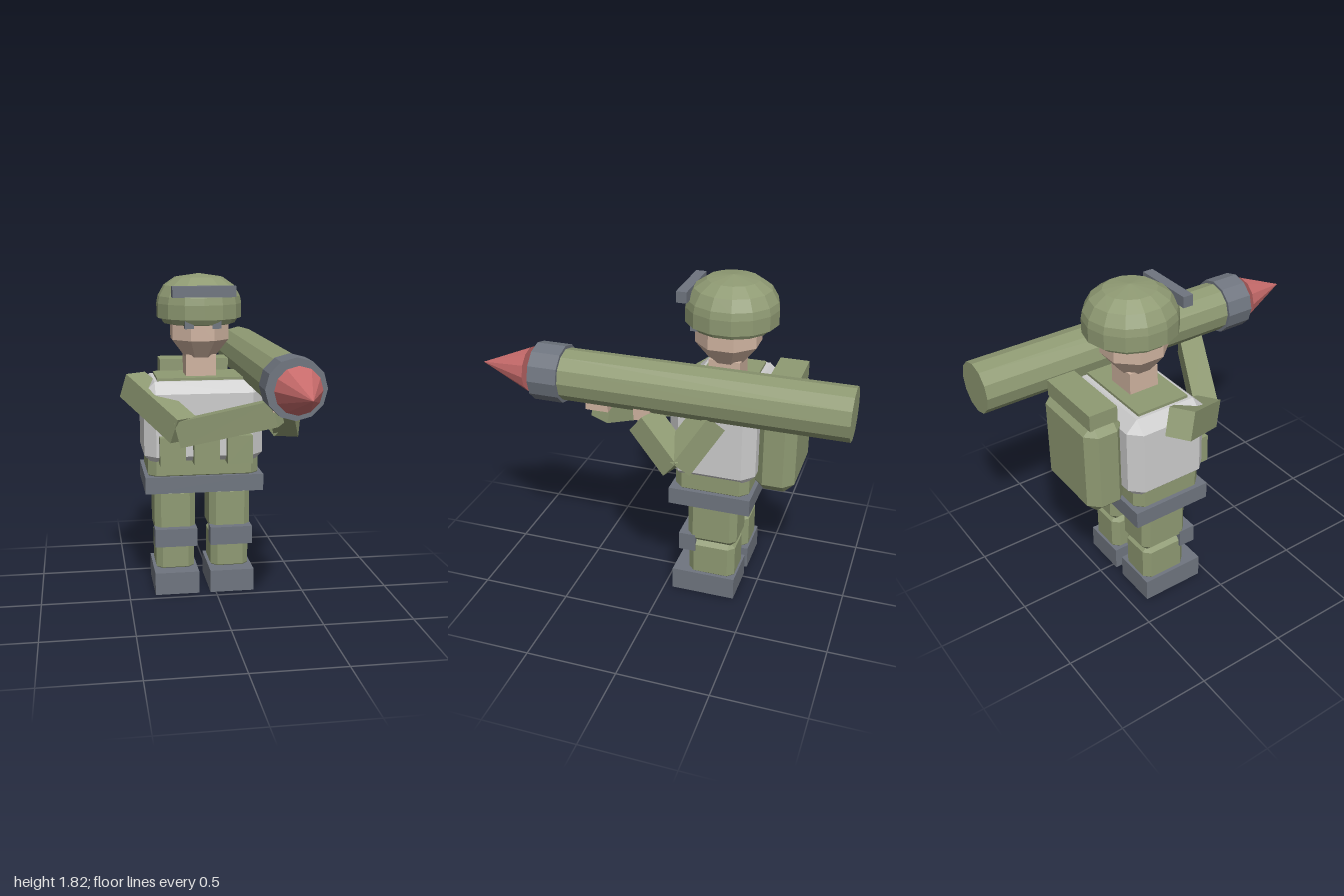
import * as THREE from 'three';
import { ConvexGeometry } from 'three/addons/geometries/ConvexGeometry.js';

const mat = (name, color) => {
  const m = new THREE.MeshStandardMaterial({ color, flatShading: true });
  m.name = name;
  return m;
};

export function createModel() {
  const green = mat('olive green', 0x8f9a73);
  const grey = mat('slate grey', 0x6f757f);
  const pale = mat('pale grey', 0xcccccc);
  const skin = mat('skin', 0xcfb3a0);
  const red = mat('red', 0xc96c6c);

  const model = new THREE.Group();
  model.name = 'soldier';

  const add = (name, geometry, material, x = 0, y = 0, z = 0) => {
    const mesh = new THREE.Mesh(geometry, material);
    mesh.name = name;
    mesh.position.set(x, y, z);
    model.add(mesh);
    return mesh;
  };

  // Box given by its extents; a chamfer c cuts every edge and corner
  const box = (name, material, [x0, x1], [y0, y1], [z0, z1], c = 0) => {
    const w = x1 - x0, h = y1 - y0, d = z1 - z0;
    let geometry;
    if (c) {
      const half = [w / 2, h / 2, d / 2], pts = [];
      for (let axis = 0; axis < 3; axis++)
        for (const sx of [-1, 1]) for (const sy of [-1, 1]) for (const sz of [-1, 1]) {
          const e = half.map((v, i) => (i === axis ? v : v - c));
          pts.push(new THREE.Vector3(sx * e[0], sy * e[1], sz * e[2]));
        }
      geometry = new ConvexGeometry(pts);
    } else geometry = new THREE.BoxGeometry(w, h, d);
    return add(name, geometry, material, (x0 + x1) / 2, (y0 + y1) / 2, (z0 + z1) / 2);
  };

  // Square limb running between two points
  const limb = (name, a, b, w, h) => {
    const p = new THREE.Vector3(...a), q = new THREE.Vector3(...b);
    const mid = p.clone().add(q).multiplyScalar(0.5);
    const mesh = add(name, new THREE.BoxGeometry(w, h, p.distanceTo(q)), green, mid.x, mid.y, mid.z);
    mesh.lookAt(q);
    return mesh;
  };

  // Faceted solid of revolution from [radius, y] pairs
  const lathe = (pairs, sides) =>
    new THREE.LatheGeometry(pairs.map(([r, y]) => new THREE.Vector2(r, y)), sides);

  const cx = -0.065;

  // Legs
  for (const [side, x] of [['right', -0.224], ['left', 0.095]]) {
    const span = (r) => [x - r, x + r];
    box(side + 'Boot', grey, span(0.127), [0, 0.13], [-0.41, -0.05]);
    box(side + 'Shin', green, span(0.11), [0.1, 0.345], [-0.4, -0.135], 0.035);
    box(side + 'Thigh', green, span(0.118), [0.33, 0.615], [-0.41, -0.13], 0.035);
    box(side + 'KneePad', grey, span(0.121), [0.275, 0.38], [-0.18, -0.085]);
  }

  // Torso, belt, vest and front pouches
  box('belt', grey, [-0.4, 0.272], [0.605, 0.7], [-0.495, -0.045]);
  box('torso', green, [-0.38, 0.25], [0.66, 1.2], [-0.475, -0.065], 0.045);
  box('vest', pale, [-0.4, 0.272], [0.755, 1.235], [-0.505, -0.035], 0.063);
  box('shoulderPlate', green, [-0.32, 0.19], [1.2, 1.25], [-0.42, -0.12]);
  for (const x of [-0.25, -0.06, 0.128])
    box('pouch', green, [x - 0.071, x + 0.071], [0.78, 0.94], [-0.08, 0.018]);

  // Backpack with its top roll
  box('backpack', green, [-0.305, 0.175], [0.7, 1.24], [-0.7, -0.48], 0.055);
  box('backpackRoll', green, [-0.27, 0.14], [1.215, 1.305], [-0.67, -0.51]);

  // Neck and eight-sided head tapering to the chin
  box('neck', skin, [-0.15, 0.02], [1.22, 1.37], [-0.355, -0.185]);
  const k = 1 / Math.cos(Math.PI / 8);
  const headGeometry = lathe(
    [[0, 1.355], [0.085 * k, 1.355], [0.158 * k, 1.455], [0.158 * k, 1.6], [0, 1.6]], 8);
  headGeometry.rotateY(Math.PI / 8);
  add('head', headGeometry, skin, cx, 0, -0.268).scale.z = 1.05;
  for (const s of [-1, 1])
    box('eyeGuard', grey, [cx + s * 0.077 - 0.025, cx + s * 0.077 + 0.025], [1.525, 1.575], [-0.13, -0.085]);

  // Helmet with rim and raised goggles
  const helmet = lathe([[0, 1.55], [0.14, 1.53], [0.205, 1.545], [0.222, 1.575], [0.242, 1.575],
    [0.242, 1.655], [0.234, 1.695], [0.2, 1.755], [0.135, 1.8], [0, 1.82]], 14);
  add('helmet', helmet, green, cx, 0, -0.285).scale.z = 1.03;
  box('goggles', grey, [-0.24, 0.11], [1.7, 1.76], [-0.09, -0.033]);

  // Arms bent up to hold the launcher
  limb('rightUpperArm', [-0.45, 1.2, -0.26], [-0.2, 1.0, 0.1], 0.135, 0.15);
  limb('rightForearm', [-0.21, 0.98, 0.09], [0.27, 1.13, 0.33], 0.13, 0.14);
  box('rightHand', skin, [0.23, 0.34], [1.14, 1.24], [0.265, 0.39]);
  limb('leftUpperArm', [0.28, 1.16, -0.27], [0.43, 0.95, -0.13], 0.14, 0.14);
  limb('leftForearm', [0.43, 0.95, -0.15], [0.35, 1.14, 0.06], 0.14, 0.13);
  box('leftHand', skin, [0.29, 0.375], [1.14, 1.24], [0.02, 0.11]);

  // Shoulder launcher, muzzle collar and pointed rocket
  const along = (name, r0, r1, z0, z1, material) => {
    const mesh = add(name, new THREE.CylinderGeometry(r1, r0, z1 - z0, 12), material, 0.287, 1.305, (z0 + z1) / 2);
    mesh.rotation.x = Math.PI / 2;
    return mesh;
  };
  along('launcherTube', 0.139, 0.139, -1, 0.53, green);
  along('muzzleCollar', 0.156, 0.156, 0.51, 0.67, grey);
  along('rocketTip', 0.121, 0, 0.715, 1, red);

  return model;
}
